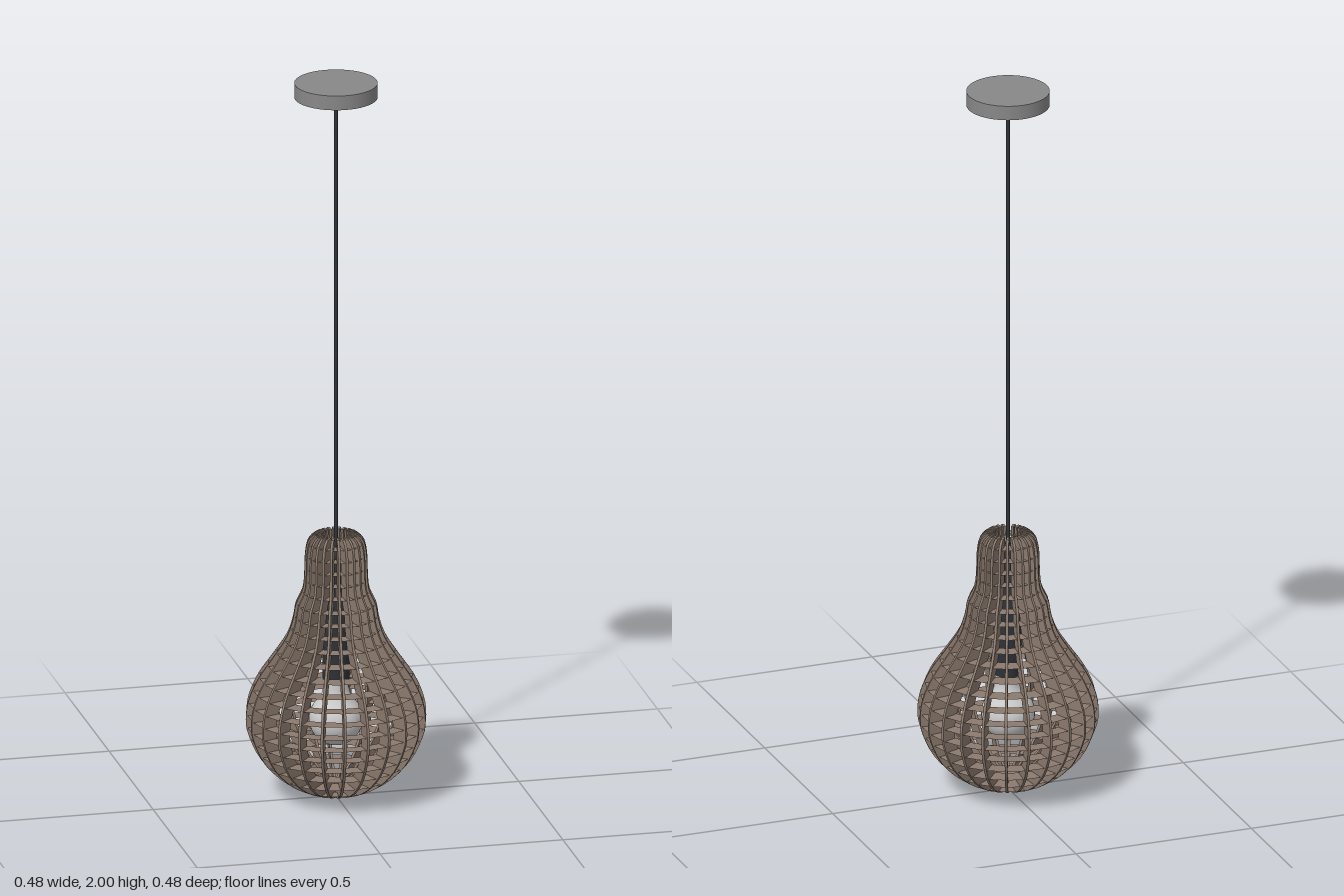
import * as THREE from 'three';

const RIBS = 24, RIB_THICK = 0.007;
const v2 = (p) => new THREE.Vector2(p[0], p[1]);

// Outer and inner edges of a rib as [radius, height], bottom to top
const OUTER = [[0.004, 0.003], [0.07, 0.015], [0.14, 0.05], [0.2, 0.108], [0.233, 0.175], [0.241, 0.22],
  [0.234, 0.275], [0.208, 0.335], [0.167, 0.395], [0.132, 0.45], [0.115, 0.5], [0.108, 0.54],
  [0.09, 0.58], [0.085, 0.62], [0.083, 0.68], [0.075, 0.718], [0.058, 0.735]];
const INNER = [[0.004, 0.035], [0.06, 0.05], [0.115, 0.08], [0.165, 0.13], [0.193, 0.185], [0.199, 0.22],
  [0.193, 0.262], [0.172, 0.312], [0.135, 0.365], [0.098, 0.425], [0.077, 0.485], [0.069, 0.53],
  [0.052, 0.57], [0.046, 0.62], [0.044, 0.68], [0.038, 0.735]];
const outer = new THREE.SplineCurve(OUTER.map(v2)).getPoints(48);
const inner = new THREE.SplineCurve(INNER.map(v2)).getPoints(48);

// Radius of a sampled edge at a given height
function radiusAt(points, y) {
  for (let i = 1; i < points.length; i++) {
    const a = points[i - 1], b = points[i];
    if (y <= b.y && b.y > a.y) return Math.max(0.004, a.x + (b.x - a.x) * (y - a.y) / (b.y - a.y));
  }
  return points[points.length - 1].x;
}

export function createModel() {
  const model = new THREE.Group();
  model.name = 'pendantLamp';
  const wood = new THREE.MeshStandardMaterial({ color: 0x8b7a6e, side: THREE.DoubleSide });
  const metal = new THREE.MeshStandardMaterial({ color: 0x888888 });
  const dark = new THREE.MeshStandardMaterial({ color: 0x30343a });
  const glass = new THREE.MeshStandardMaterial({ color: 0xcccccc });

  const add = (parent, name, geometry, material, y = 0) => {
    const mesh = new THREE.Mesh(geometry, material);
    mesh.name = name;
    mesh.position.y = y;
    parent.add(mesh);
    return mesh;
  };

  // Ceiling canopy and cord
  add(model, 'canopy', new THREE.CylinderGeometry(0.111, 0.111, 0.04, 48), metal, 1.98);
  add(model, 'cord', new THREE.CylinderGeometry(0.005, 0.005, 1.27, 10), dark, 1.33);

  // Lamp holder
  const holder = [[0, 0.33], [0.036, 0.33], [0.036, 0.6], [0.03, 0.68], [0.012, 0.7], [0, 0.7]];
  add(model, 'lampHolder', new THREE.LatheGeometry(holder.map(v2), 24), dark);

  // Light bulb: round globe running into a narrow neck
  const bulb = [];
  for (let i = 0; i <= 14; i++) {
    const a = -Math.PI / 2 + (i / 14) * 2.3;
    bulb.push(new THREE.Vector2(Math.max(0, 0.072 * Math.cos(a)), 0.217 + 0.072 * Math.sin(a)));
  }
  bulb.push(...[[0.039, 0.285], [0.034, 0.305], [0.033, 0.34]].map(v2));
  add(model, 'bulb', new THREE.LatheGeometry(bulb, 32), glass);

  // Shade: flat upright ribs standing around the axis
  const shade = new THREE.Group();
  shade.name = 'shade';
  model.add(shade);
  const ribShape = new THREE.Shape([...outer, ...inner.slice().reverse()]);
  const ribGeometry = new THREE.ExtrudeGeometry(ribShape, { depth: RIB_THICK, bevelEnabled: false });
  ribGeometry.translate(0, 0, -RIB_THICK / 2);
  for (let i = 0; i < RIBS; i++) {
    add(shade, 'rib', ribGeometry, wood).rotation.y = ((i + 0.5) / RIBS) * Math.PI * 2;
  }

  // Thin horizontal rings slotted through the ribs
  for (let y = 0.03; y < 0.73; y += 0.034) {
    const r = radiusAt(outer, y) - 0.003;
    const hole = y < 0.045 ? 0.06 : Math.min(radiusAt(inner, y), r - 0.038);
    const ring = new THREE.RingGeometry(hole, r, RIBS, 1, Math.PI / RIBS);
    add(shade, 'ring', ring.rotateX(-Math.PI / 2), wood, y);
  }

  // Small disc joining the ribs at the bottom
  add(shade, 'bottomDisc', new THREE.CylinderGeometry(0.02, 0.02, 0.006, RIBS), wood, 0.003);
  return model;
}
